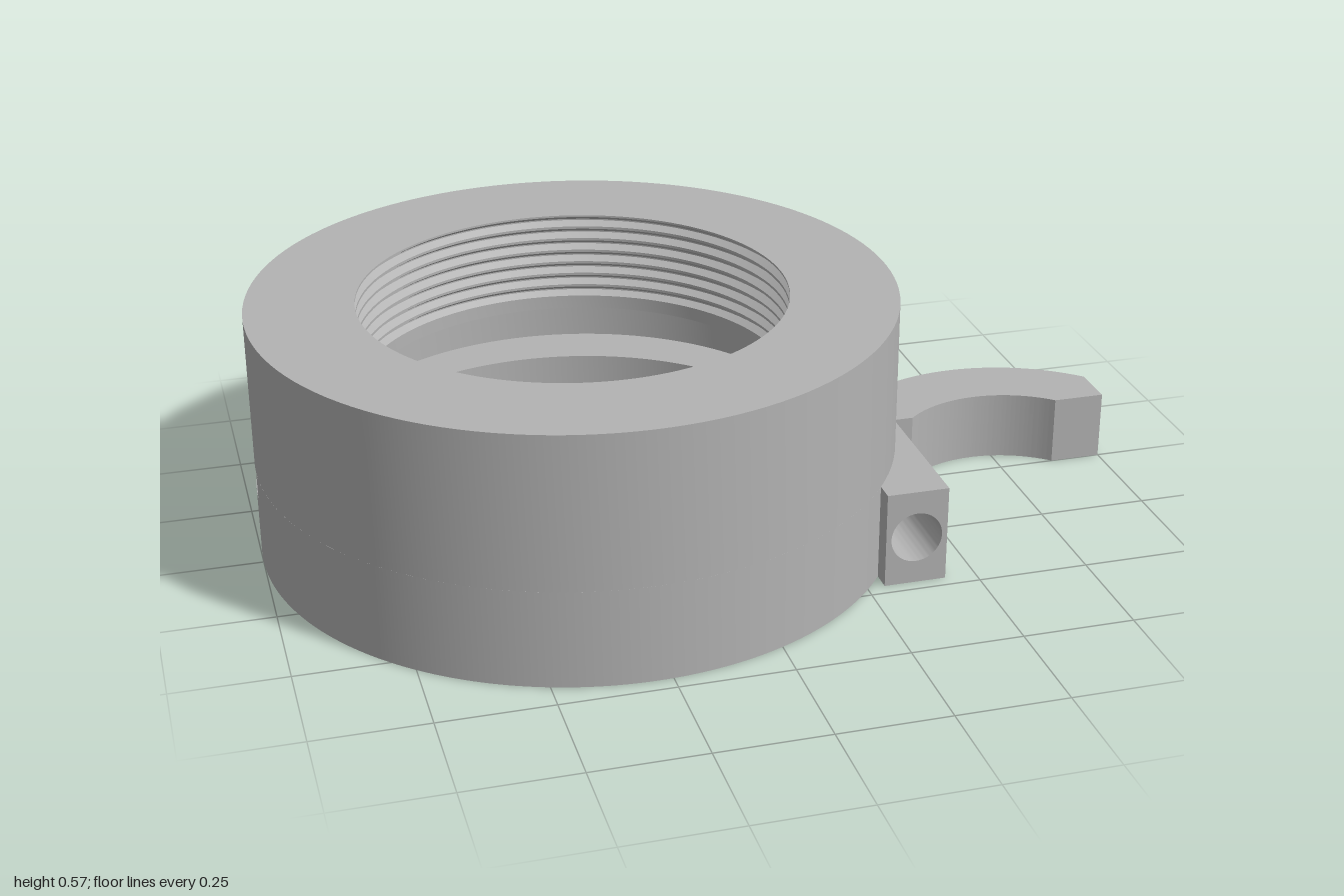
import * as THREE from 'three';
import { toCreasedNormals } from 'three/addons/utils/BufferGeometryUtils.js';

const CX = -0.285;            // ring axis
const R_OUT = 0.715, R_BORE = 0.57, R_THREAD = 0.475;
const HEIGHT = 0.567, SLOT_TOP = 0.22, SLOT_FLOOR = 0.16;
const GAP = 0.04;             // gap between clamp block and lever

export function createModel() {
  const group = new THREE.Group();
  const grey = new THREE.MeshStandardMaterial({ color: 0xb3b3b3 });
  grey.name = 'plain grey';

  const add = (name, geometry) => {
    const mesh = new THREE.Mesh(toCreasedNormals(geometry, 0.4), grey);
    mesh.name = name;
    group.add(mesh);
    return mesh;
  };

  // Plan outline (shape y = world z) raised from the ground to a height
  const slab = (shape, height) =>
    new THREE.ExtrudeGeometry(shape, { depth: height, bevelEnabled: false, curveSegments: 72 })
      .rotateX(Math.PI / 2)
      .translate(0, height, 0);

  // Upper ring: smooth outside, threaded bore, wider recess below
  const profile = [
    [R_BORE, SLOT_TOP], [R_OUT, SLOT_TOP], [R_OUT, HEIGHT], [R_THREAD, HEIGHT],
  ];
  const turns = 7, threadEnd = 0.36;
  const pitch = (HEIGHT - threadEnd) / turns;
  for (let i = 0; i < turns; i++) {
    const y = HEIGHT - i * pitch;
    profile.push(
      [R_THREAD, y - pitch * 0.15],
      [R_THREAD + 0.016, y - pitch * 0.5],
      [R_THREAD + 0.016, y - pitch * 0.6],
      [R_THREAD, y - pitch * 0.95],
    );
  }
  profile.push([R_THREAD, 0.33], [R_BORE, 0.33], [R_BORE, SLOT_TOP]);
  add('threadedRing', new THREE.LatheGeometry(
    profile.map(([r, y]) => new THREE.Vector2(r, y)), 128)).position.x = CX;

  // Fixed front half of the lower ring, cut flat where it meets the clamp block
  const blockX = 0.29, cut = blockX - CX;
  const wall = new THREE.Shape();
  wall.moveTo(blockX, GAP);
  wall.lineTo(blockX, Math.sqrt(R_OUT ** 2 - cut ** 2));
  wall.absarc(CX, 0, R_OUT, Math.acos(cut / R_OUT), Math.PI, false);
  wall.lineTo(CX - R_BORE, 0);
  wall.absarc(CX, 0, R_BORE, Math.PI, Math.asin(GAP / R_BORE), true);
  wall.closePath();
  add('lowerFrontWall', slab(wall, SLOT_TOP));

  // Springy rear half of the lower ring with its curved finger lever
  const leverX = 0.7, leverZ = 0.197, leverOut = 0.427, leverIn = 0.267;
  const back = -0.195;
  const arm = new THREE.Shape();
  arm.moveTo(CX - R_BORE, 0);
  arm.lineTo(CX - R_OUT, 0);
  arm.absarc(CX, 0, R_OUT, Math.PI, 2 * Math.PI + Math.asin(back / R_OUT), false);
  arm.lineTo(0.53, back);
  arm.absarc(leverX, leverZ, leverOut,
    Math.atan2(-0.392, -0.17), Math.atan2(-0.304, 0.3), false);
  arm.lineTo(1, 0);
  arm.lineTo(0.88, 0);
  arm.absarc(leverX, leverZ, leverIn,
    Math.atan2(-leverZ, 0.18), Math.atan2(-leverZ, -0.18), true);
  arm.lineTo(CX + R_BORE, 0);
  arm.absarc(CX, 0, R_BORE, 2 * Math.PI, Math.PI, true);
  add('clampArmAndLever', slab(arm, SLOT_FLOOR));

  // Clamp block with a screw hole running front to back
  const block = new THREE.Shape();
  block.moveTo(blockX, 0);
  block.lineTo(CX + R_OUT, 0);
  block.lineTo(CX + R_OUT, SLOT_TOP);
  block.lineTo(blockX, SLOT_TOP);
  block.closePath();
  const hole = new THREE.Path();
  hole.absarc(0.36, 0.11, 0.058, 0, Math.PI * 2, true);
  block.holes.push(hole);
  add('clampBlock', new THREE.ExtrudeGeometry(block,
    { depth: 0.47 - GAP, bevelEnabled: false, curveSegments: 32 }).translate(0, 0, GAP));

  return group;
}
